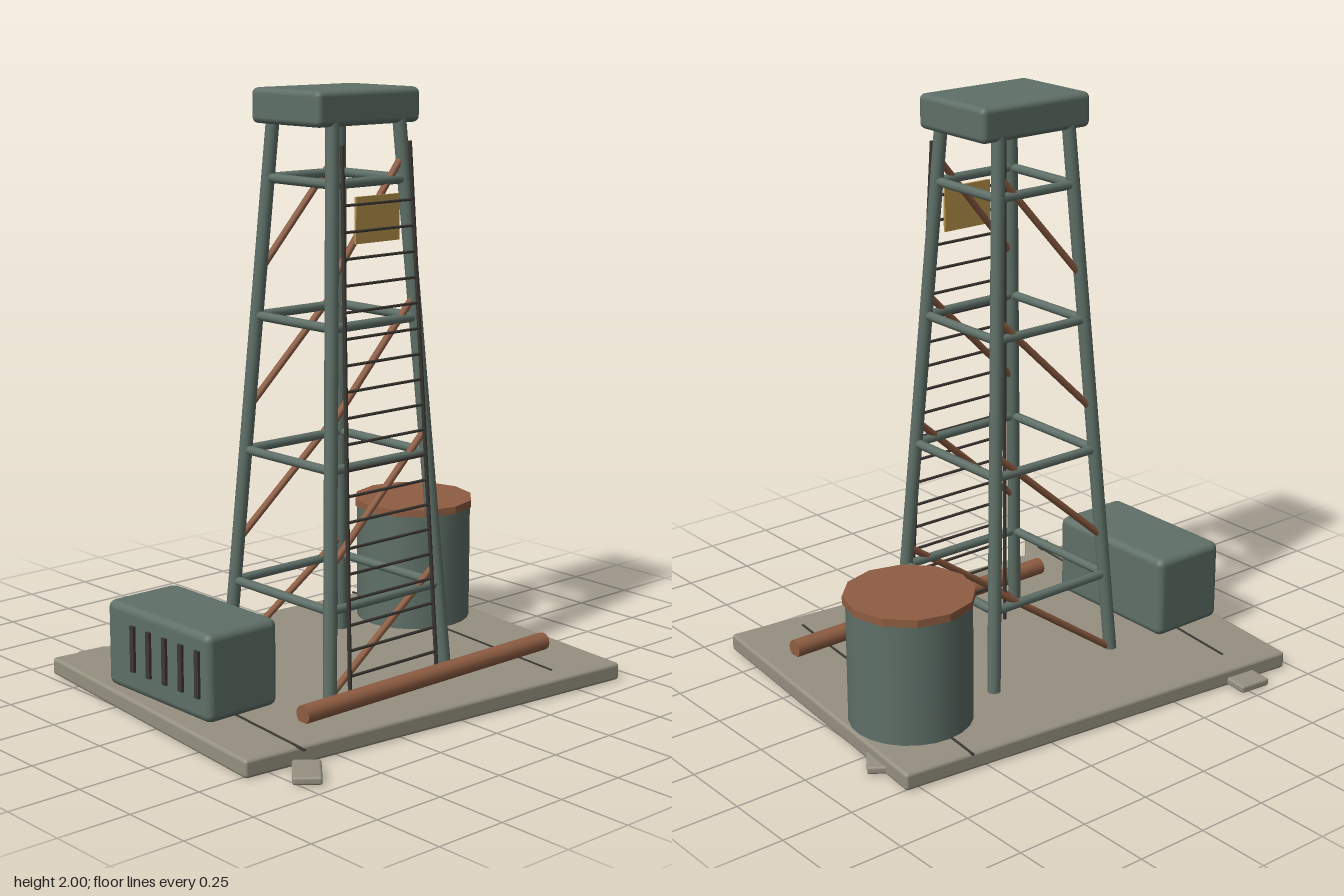
import * as THREE from 'three';
import { RoundedBoxGeometry } from 'three/addons/geometries/RoundedBoxGeometry.js';

const CX = -0.02, CZ = 0.01; // tower axis

function material(name, color) {
  const m = new THREE.MeshStandardMaterial({ color });
  m.name = name;
  return m;
}

export function createModel() {
  const green = material('grey green paint', 0x5f7068);
  const rust = material('rust', 0x8f5d42);
  const concrete = material('concrete', 0x959080);
  const yellow = material('sign yellow', 0xb5934a);
  const dark = material('dark metal', 0x3c3833);

  const model = new THREE.Group();
  model.name = 'drillingTower';

  const group = (name) => {
    const g = new THREE.Group();
    g.name = name;
    model.add(g);
    return g;
  };
  const add = (parent, name, geometry, mat, x, y, z, ry = 0) => {
    const mesh = new THREE.Mesh(geometry, mat);
    mesh.name = name;
    mesh.position.set(x, y, z);
    mesh.rotation.y = ry;
    parent.add(mesh);
    return mesh;
  };
  // Round bar between two points
  const bar = (parent, name, a, b, radius, mat, sides = 8) => {
    const from = new THREE.Vector3(...a), to = new THREE.Vector3(...b);
    const dir = to.clone().sub(from);
    const geo = new THREE.CylinderGeometry(radius, radius, dir.length(), sides);
    const mid = from.add(to).multiplyScalar(0.5);
    const mesh = add(parent, name, geo, mat, mid.x, mid.y, mid.z);
    mesh.quaternion.setFromUnitVectors(new THREE.Vector3(0, 1, 0), dir.normalize());
    return mesh;
  };

  // Ground slab with joints and loose stones
  const ground = group('ground');
  const turn = -0.1;
  add(ground, 'slab', new RoundedBoxGeometry(1.53, 0.06, 1.19, 2, 0.012), concrete, CX, 0.03, 0.005, turn);
  for (const x of [-0.595, 0.505]) {
    add(ground, 'slabJoint', new THREE.BoxGeometry(0.008, 0.006, 1.12), dark, x, 0.06, 0.015, turn);
  }
  const stones = [
    [-0.525, -0.66, 0.115, 0.13, -0.1],
    [-0.692, 0.63, 0.09, 0.15, -0.7],
    [0.775, -0.325, 0.07, 0.12, -0.6],
  ];
  for (const [x, z, w, d, ry] of stones) {
    add(ground, 'stone', new RoundedBoxGeometry(w, 0.026, d, 2, 0.008), concrete, x, 0.018, z, ry);
  }

  // Tapering tower: half width at a given height
  const half = (y) => 0.26 - 0.115 * (y - 0.06) / 1.84;
  const corner = (sx, y, sz) => [CX + sx * half(y), y, CZ + sz * half(y)];
  const tower = group('tower');
  for (const sx of [-1, 1]) {
    for (const sz of [-1, 1]) {
      bar(tower, 'leg', corner(sx, 0.055, sz), corner(sx, 1.9, sz), 0.023, green, 10);
    }
  }
  for (const y of [0.34, 0.795, 1.25, 1.705]) {
    for (const s of [-1, 1]) {
      bar(tower, 'crossBar', corner(-1, y, s), corner(1, y, s), 0.016, green);
      bar(tower, 'sideBar', corner(s, y, -1), corner(s, y, 1), 0.016, green);
    }
  }
  // Rusty diagonals on front and back faces
  for (const [y0, y1] of [[0.06, 0.41], [0.48, 0.87], [0.94, 1.32], [1.4, 1.78]]) {
    for (const s of [-1, 1]) {
      bar(tower, 'diagonalBrace', corner(-1, y0, s), corner(1, y1, s), 0.012, rust);
    }
  }
  add(tower, 'crown', new RoundedBoxGeometry(0.445, 0.115, 0.335, 2, 0.02), green, CX, 1.9425, CZ);
  bar(tower, 'drillCable', [CX, 0.15, CZ], [CX, 1.89, CZ], 0.006, dark, 6);

  // Ladder leaning on the front
  const ladder = group('ladder');
  const ladderPoint = (s, y) => {
    const t = (y - 0.06) / 1.77;
    return [CX + s * (0.197 - 0.05 * t), y, 0.298 - 0.095 * t];
  };
  for (const s of [-1, 1]) {
    bar(ladder, 'ladderRail', ladderPoint(s, 0.06), ladderPoint(s, 1.83), 0.007, dark, 6);
  }
  for (let i = 0; i < 19; i++) {
    const y = 0.12 + i * 0.0845;
    bar(ladder, 'rung', ladderPoint(-1, y), ladderPoint(1, y), 0.005, dark, 6);
  }
  add(tower, 'signPlate', new THREE.BoxGeometry(0.19, 0.15, 0.009), yellow, -0.022, 1.59, 0.21);

  // Generator housing with vents on its outer side
  const generator = group('generator');
  add(generator, 'housing', new RoundedBoxGeometry(0.285, 0.29, 0.535, 2, 0.026), green, -0.598, 0.207, -0.045);
  for (let i = 0; i < 5; i++) {
    add(generator, 'vent', new THREE.BoxGeometry(0.014, 0.155, 0.02), dark, -0.743, 0.217, -0.165 + i * 0.084);
  }

  // Storage tank with an angular lid
  const tank = group('tank');
  add(tank, 'tankBody', new THREE.CylinderGeometry(0.205, 0.205, 0.42, 24), green, 0.555, 0.268, -0.21);
  const lid = new THREE.CylinderGeometry(0.215, 0.215, 0.026, 12).toNonIndexed();
  lid.computeVertexNormals();
  add(tank, 'tankLid', lid, rust, 0.555, 0.487, -0.21);

  // Spare pipe lying on the slab
  bar(model, 'loosePipe', [-0.5, 0.085, 0.39], [0.605, 0.085, 0.39], 0.031, rust, 12);

  return model;
}
